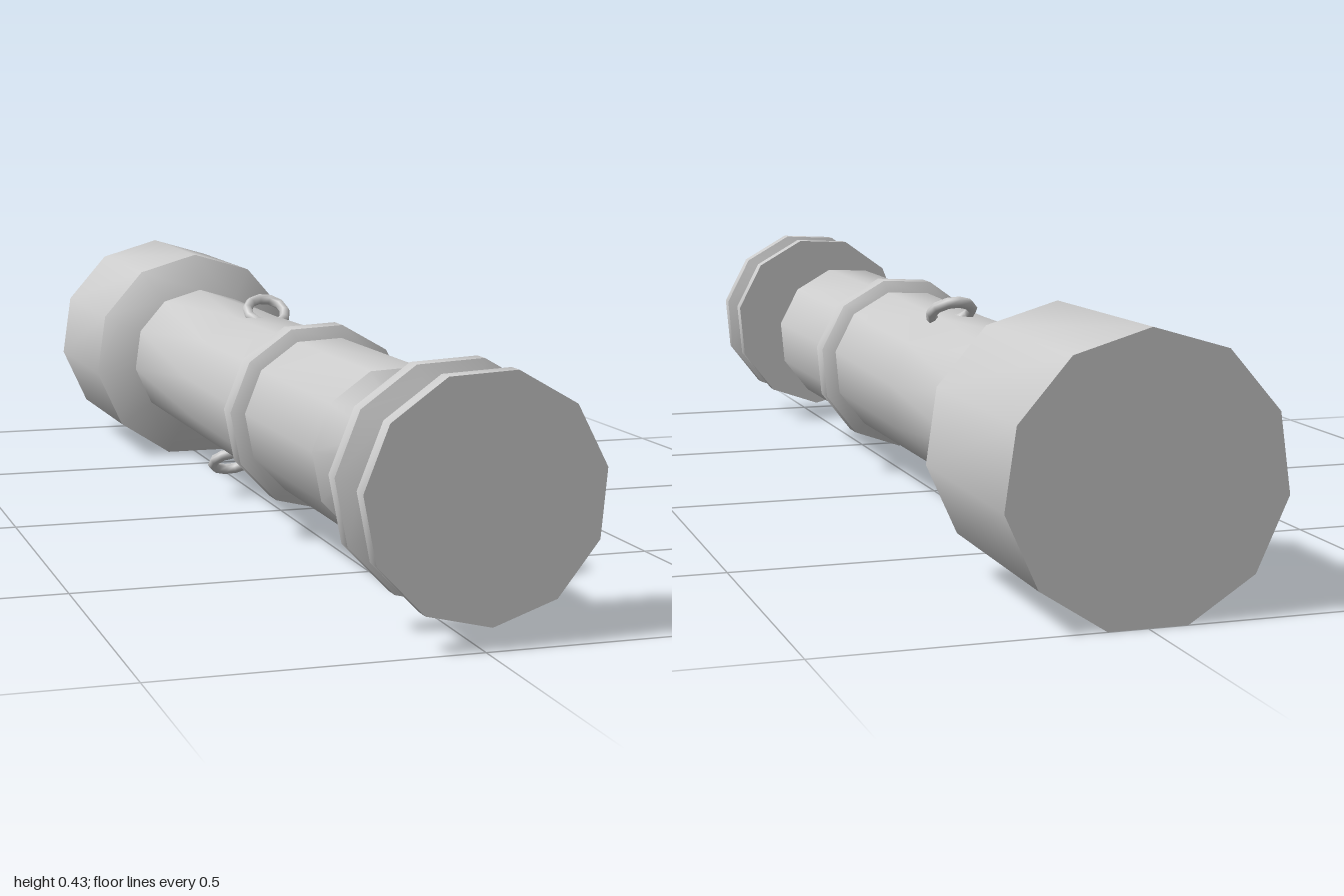
import * as THREE from 'three';
import { toCreasedNormals } from 'three/addons/utils/BufferGeometryUtils.js';

const SIDES = 11;
const material = new THREE.MeshStandardMaterial({ color: 0xcccccc });

// Closed tube along z from rings [z, radius, centreY, twist in degrees], listed front to back
function loft(name, rings) {
  const pos = [], index = [];
  for (const [z, r, cy, twist] of rings) {
    for (let k = 0; k < SIDES; k++) {
      const a = THREE.MathUtils.degToRad(twist) + (k / SIDES) * Math.PI * 2;
      pos.push(r * Math.sin(a), cy + r * Math.cos(a), z);
    }
  }
  const last = rings.length - 1;
  const front = pos.length / 3, back = front + 1;
  pos.push(0, rings[0][2], rings[0][0], 0, rings[last][2], rings[last][0]);
  for (let k = 0; k < SIDES; k++) {
    const n = (k + 1) % SIDES;
    for (let i = 0; i < last; i++) {
      const a = i * SIDES + k, b = i * SIDES + n;
      index.push(a, b, a + SIDES, b, b + SIDES, a + SIDES);
    }
    index.push(front, n, k, back, last * SIDES + k, last * SIDES + n);
  }
  const geo = new THREE.BufferGeometry();
  geo.setAttribute('position', new THREE.Float32BufferAttribute(pos, 3));
  geo.setIndex(index);
  const mesh = new THREE.Mesh(toCreasedNormals(geo, 0.61), material);
  mesh.name = name;
  return mesh;
}

// Adds one centre height and twist to a [z, radius] profile
const straight = (profile, cy, twist) => profile.map(([z, r]) => [z, r, cy, twist]);

export function createModel() {
  const group = new THREE.Group();
  group.name = 'handle';
  const twist = 13.4;

  // Spool-shaped end knob
  group.add(loft('endKnob', straight([
    [1, 0.186], [0.972, 0.186], [0.96, 0.15], [0.887, 0.15], [0.875, 0.186], [0.847, 0.186],
  ], 0.225, twist)));

  // Thin neck between knob and grip
  group.add(loft('neck', straight([[0.86, 0.065], [0.67, 0.065]], 0.229, twist)));

  // Grip with tapered front, slightly twisted and waisted towards the rear
  group.add(loft('grip', [
    [0.69, 0.07, 0.224, twist],
    [0.635, 0.143, 0.222, twist],
    [0.2, 0.142, 0.221, twist],
    [-0.17, 0.139, 0.217, 16],
    [-0.6, 0.143, 0.217, 360 / SIDES],
  ]));

  // Raised collar
  group.add(loft('collar', straight([
    [0.255, 0.14], [0.243, 0.165], [0.2, 0.165], [0.186, 0.14],
  ], 0.22, twist)));

  // Wide rear cap with sloped shoulder
  group.add(loft('rearCap', [
    [-0.59, 0.143, 0.216, 0],
    [-0.632, 0.2165, 0.2145, 0],
    [-1, 0.2195, 0.2145, 0],
  ]));

  // Small strap loops leaning backwards, above and below the grip
  for (const [name, x, y, angle] of [['upperLoop', 0.02, 0.36, -55], ['lowerLoop', -0.05, 0.071, -125]]) {
    const loop = new THREE.Mesh(new THREE.TorusGeometry(0.037, 0.01, 6, SIDES), material);
    loop.name = name;
    loop.position.set(x, y, -0.163);
    loop.rotation.x = THREE.MathUtils.degToRad(angle);
    group.add(loop);
  }
  return group;
}
